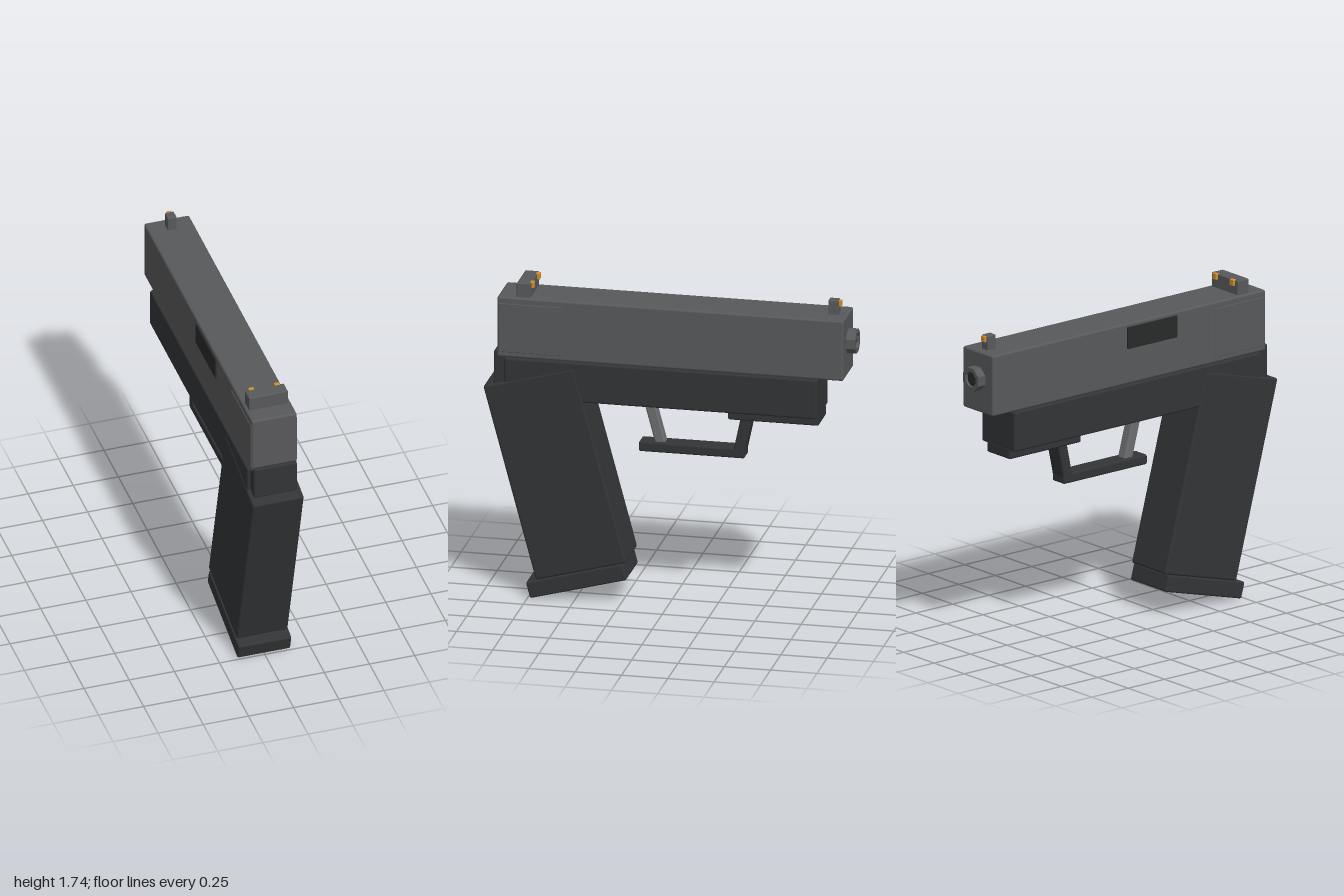
import * as THREE from 'three';
import { RoundedBoxGeometry } from 'three/addons/geometries/RoundedBoxGeometry.js';

const mat = (color) => new THREE.MeshStandardMaterial({ color });

export function createModel() {
  const model = new THREE.Group();
  const steel = mat(0x58595b), polymer = mat(0x323436), dark = mat(0x28292a);
  const triggerGrey = mat(0x6c6d6e), amber = mat(0xd0902a);

  const add = (name, geometry, material, x = 0, y = 0, z = 0, tilt = 0) => {
    const mesh = new THREE.Mesh(geometry, material);
    mesh.name = name;
    mesh.position.set(x, y, z);
    mesh.rotation.x = tilt;
    model.add(mesh);
    return mesh;
  };
  // Softened block given by its full width and its y and z ranges
  const block = (name, material, width, [y0, y1], [z0, z1], x = 0, r = 0.01) =>
    add(name, new RoundedBoxGeometry(width, y1 - y0, z1 - z0, 2, r), material,
      x, (y0 + y1) / 2, (z0 + z1) / 2);
  // Softened block leaning about x, given by its centre
  const leaning = (name, material, [w, h, d], y, z, tilt, r = 0.01) =>
    add(name, new RoundedBoxGeometry(w, h, d, 2, r), material, 0, y, z, tilt);

  // Upper body with raised rear side panels and the side port
  block('slide', steel, 0.25, [1.34, 1.675], [-0.95, 0.92], 0, 0.012);
  for (const s of [-1, 1]) {
    block('slideRearPanel', steel, 0.01, [1.37, 1.64], [0.57, 0.91], s * 0.124, 0.003);
  }
  block('sidePort', dark, 0.016, [1.535, 1.655], [-0.03, 0.31], -0.125, 0.003);

  // Lower body
  block('frame', polymer, 0.276, [1.12, 1.34], [-0.81, 0.88], 0, 0.012);
  block('rearTang', polymer, 0.24, [1.185, 1.372], [0.8, 0.94], 0, 0.012);
  block('frontRail', polymer, 0.19, [1.07, 1.13], [-0.81, -0.32]);

  // Handle and its base plate share one lean
  const lean = 0.262;
  leaning('grip', polymer, [0.284, 1.1, 0.506], 0.71, 0.605, lean, 0.012);
  leaning('gripBase', polymer, [0.294, 0.092, 0.54], 0.125, 0.488, lean);

  // Trigger and its guard
  block('guardBottom', polymer, 0.1, [0.842, 0.896], [-0.4, 0.172]);
  leaning('guardPost', polymer, [0.1, 0.25, 0.06], 0.98, -0.39, -0.21);
  leaning('trigger', triggerGrey, [0.06, 0.23, 0.056], 0.985, 0.085, lean);

  // Eight-sided hollow muzzle with a dark bore
  const octagon = (path, r) => {
    for (let i = 0; i < 8; i++) {
      const a = (i + 0.5) * Math.PI / 4;
      path[i ? 'lineTo' : 'moveTo'](r * Math.cos(a), r * Math.sin(a));
    }
    path.closePath();
    return path;
  };
  const ring = octagon(new THREE.Shape(), 0.067);
  ring.holes.push(octagon(new THREE.Path(), 0.043));
  add('muzzle', new THREE.ExtrudeGeometry(ring, { depth: 0.07, bevelEnabled: false }),
    steel, 0, 1.528, -1);
  add('bore', new THREE.ShapeGeometry(octagon(new THREE.Shape(), 0.045)),
    dark, 0, 1.528, -0.985).rotation.y = Math.PI;

  // Sights with coloured marks
  block('rearSight', steel, 0.216, [1.665, 1.753], [0.742, 0.818], 0, 0.006);
  block('frontSight', steel, 0.05, [1.665, 1.753], [-0.902, -0.846], 0, 0.006);
  for (const x of [-0.071, 0.071]) {
    block('rearSightMark', amber, 0.03, [1.722, 1.756], [0.728, 0.75], x, 0.003);
  }
  block('frontSightMark', amber, 0.03, [1.718, 1.75], [-0.916, -0.895], 0, 0.003);

  return model;
}
